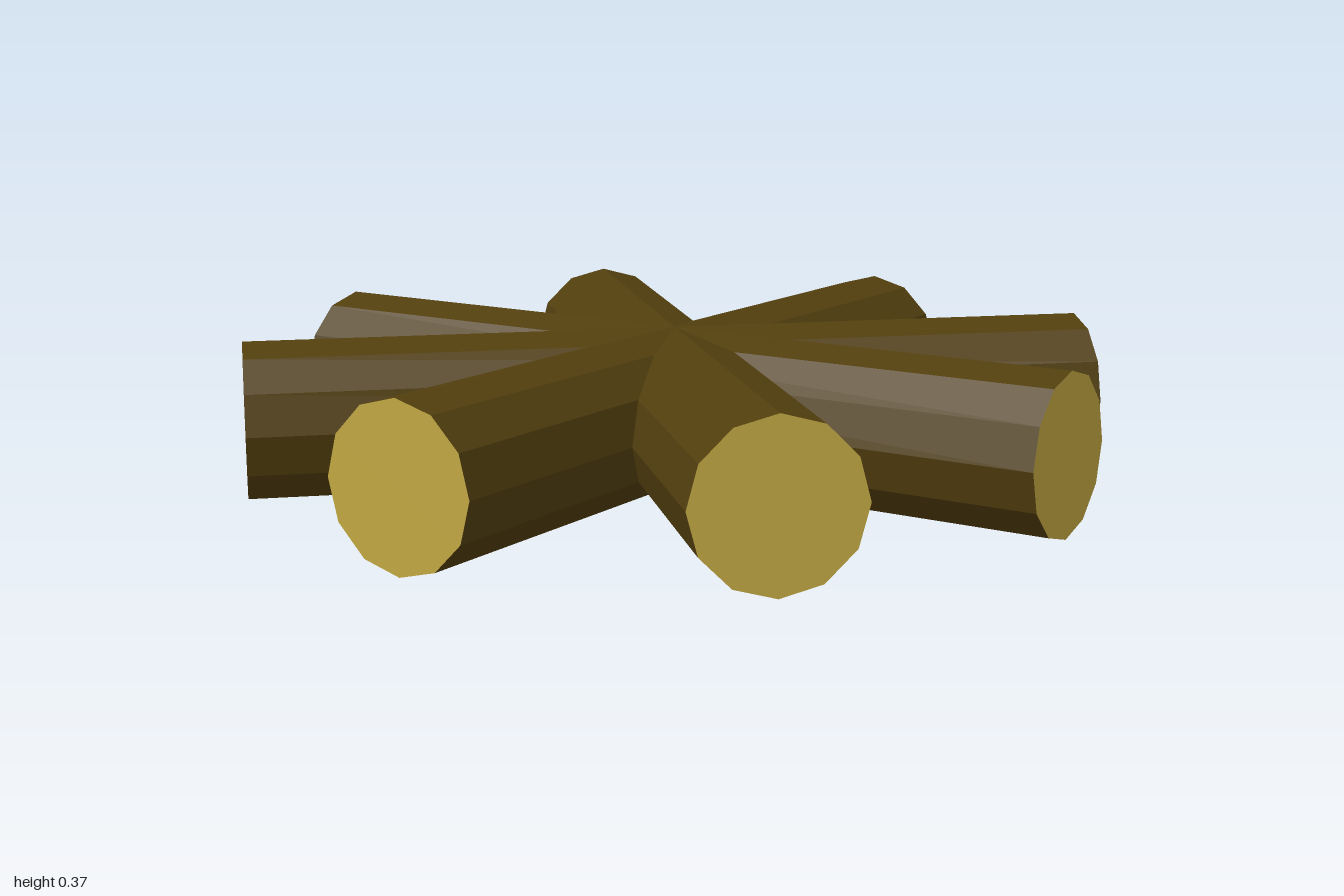
import * as THREE from 'three';

export function createModel() {
  const model = new THREE.Group();
  model.name = 'crossedLogs';

  const bark = new THREE.MeshStandardMaterial({ name: 'bark', color: 0x523f0e, flatShading: true });
  const cutWood = new THREE.MeshStandardMaterial({ name: 'cutWood', color: 0xc2a742, flatShading: true });

  // One twelve-sided log lying along z: bark on the side, cut wood on both ends
  const radius = 0.184;
  const logShape = new THREE.CylinderGeometry(radius, radius, 2, 12).rotateX(Math.PI / 2);

  // Four logs crossing at the centre, an eighth of a turn apart
  for (let i = 0; i < 4; i++) {
    const log = new THREE.Mesh(logShape, [bark, cutWood, cutWood]);
    log.name = `log${i + 1}`;
    log.position.y = radius;
    log.rotation.y = (i * Math.PI) / 4;
    model.add(log);
  }

  return model;
}
